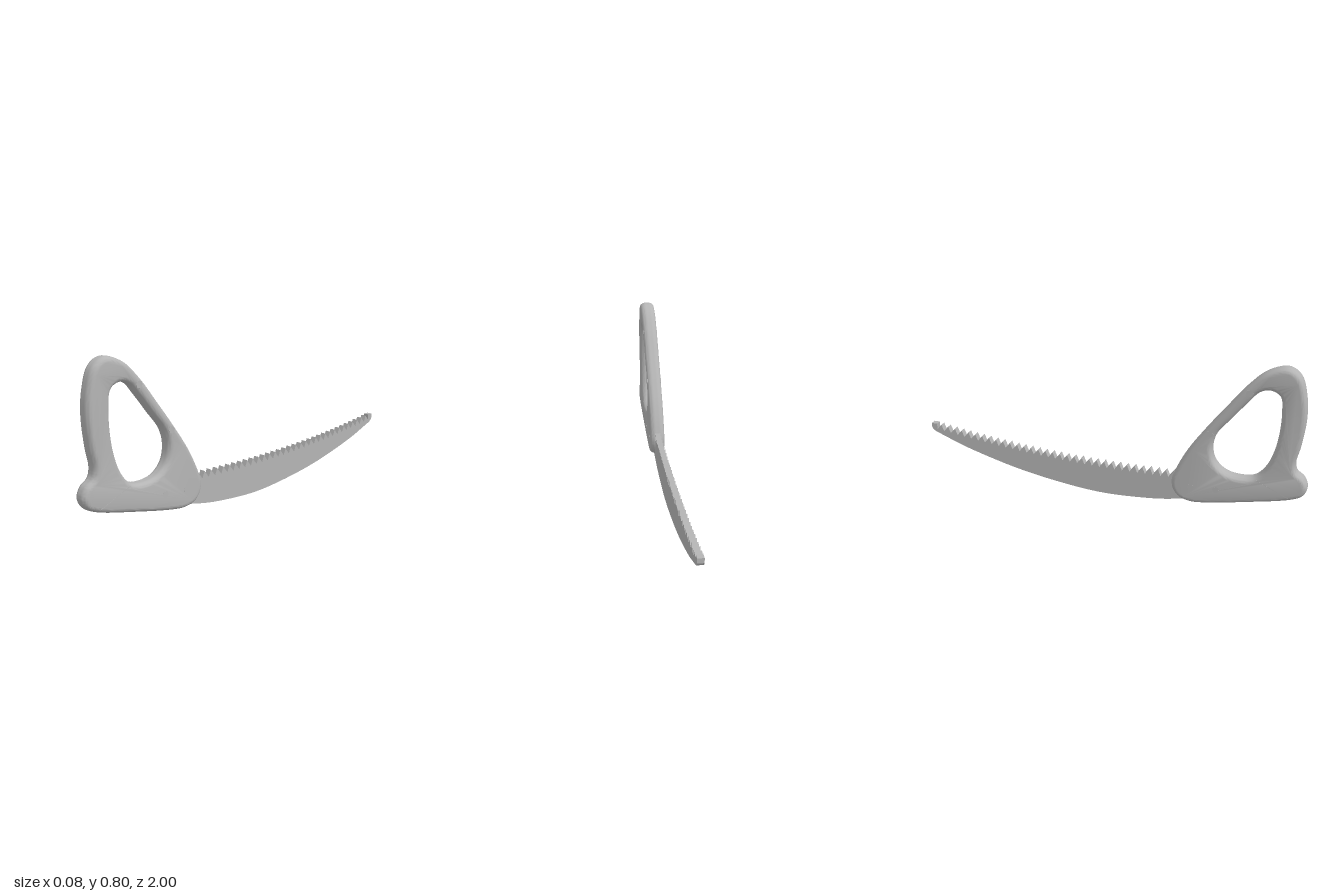
import * as THREE from 'three';
import { toCreasedNormals } from 'three/addons/utils/BufferGeometryUtils.js';

const grey = new THREE.MeshStandardMaterial({ color: 0xb4b4b4 });
grey.name = 'grey';

// smooth closed outline through [z, y] points
function loop(points, count) {
  const curve = new THREE.CatmullRomCurve3(points.map(([z, y]) => new THREE.Vector3(z, y, 0)), true);
  return curve.getPoints(count).slice(0, -1).map(p => new THREE.Vector2(p.x, p.y));
}

// extrude a [z, y] shape across x, centred on x = 0
function slab(shape, width, bevelSize = 0, bevelThickness = 0) {
  const depth = width - 2 * bevelThickness;
  const geometry = new THREE.ExtrudeGeometry(shape, {
    depth, bevelEnabled: bevelSize > 0, bevelSize, bevelThickness,
    bevelOffset: -bevelSize, bevelSegments: 6, curveSegments: 1,
  });
  geometry.translate(0, 0, -depth / 2);
  geometry.rotateY(-Math.PI / 2);
  return geometry;
}

export function createModel() {
  const model = new THREE.Group();
  const add = (name, geometry) => {
    const mesh = new THREE.Mesh(geometry, grey);
    mesh.name = name;
    model.add(mesh);
    return mesh;
  };

  // rounded handle with a finger opening
  const handle = new THREE.Shape(loop([
    [0.86, 0.8], [0.77, 0.771], [0.687, 0.692], [0.596, 0.572], [0.497, 0.436], [0.42, 0.318],
    [0.367, 0.21], [0.348, 0.15], [0.356, 0.098], [0.39, 0.058], [0.45, 0.042], [0.52, 0.048],
    [0.73, 0.092], [0.93, 0.143], [0.983, 0.172], [1.0, 0.216], [0.982, 0.262], [0.945, 0.293],
    [0.935, 0.335], [0.95, 0.425], [0.961, 0.56], [0.951, 0.665], [0.917, 0.765],
  ], 160));
  handle.holes.push(new THREE.Path(loop([
    [0.79, 0.683], [0.835, 0.66], [0.848, 0.585], [0.847, 0.48], [0.832, 0.38], [0.8, 0.29],
    [0.752, 0.234], [0.687, 0.22], [0.61, 0.234], [0.558, 0.282], [0.541, 0.355], [0.56, 0.432],
    [0.625, 0.52], [0.7, 0.618], [0.743, 0.668],
  ], 110)));
  add('handle', toCreasedNormals(slab(handle, 0.077, 0.024, 0.03), 0.6));

  // joint line between grip and lower handle
  const [z1, y1, z2, y2] = [0.765, 0.226, 0.92, 0.157];
  const seam = add('handleSeam', new THREE.BoxGeometry(0.0778, 0.003, Math.hypot(z2 - z1, y2 - y1)));
  seam.position.set(0, (y1 + y2) / 2, (z1 + z2) / 2);
  seam.rotation.x = Math.atan2(y1 - y2, z2 - z1);

  // rivets running through the handle
  for (const [z, y] of [[0.7, 0.664], [0.529, 0.434], [0.574, 0.14], [0.449, 0.131]]) {
    const rivet = add('rivet', new THREE.CylinderGeometry(0.017, 0.017, 0.0785, 8).toNonIndexed());
    rivet.geometry.computeVertexNormals();
    rivet.rotation.z = Math.PI / 2;
    rivet.position.set(0, y, z);
  }

  // curved blade: smooth belly, then teeth from tip to handle
  const belly = new THREE.SplineCurve([
    [0.45, 0.058], [0.4, 0.045], [0.25, 0.018], [0, 0.001], [-0.234, 0.017],
    [-0.5, 0.059], [-0.77, 0.128], [-0.94, 0.188], [-0.985, 0.207], [-1, 0.225],
  ].map(p => new THREE.Vector2(...p))).getPoints(60);
  const root = z => 0.147 + 0.073 * z * z;
  const outline = [...belly, new THREE.Vector2(-1, 0.248), new THREE.Vector2(-0.968, 0.248)];
  const teeth = 33, start = -0.968, pitch = 0.0406;
  for (let i = 0; i < teeth; i++) {
    const z = start + i * pitch;
    outline.push(new THREE.Vector2(z, root(z)));
    const tip = z + pitch * 0.66;
    outline.push(new THREE.Vector2(tip, root(tip) + 0.034));
  }
  outline.push(new THREE.Vector2(0.375, 0.157), new THREE.Vector2(0.45, 0.15));
  add('blade', toCreasedNormals(slab(new THREE.Shape(outline), 0.03), 0.4));

  return model;
}
